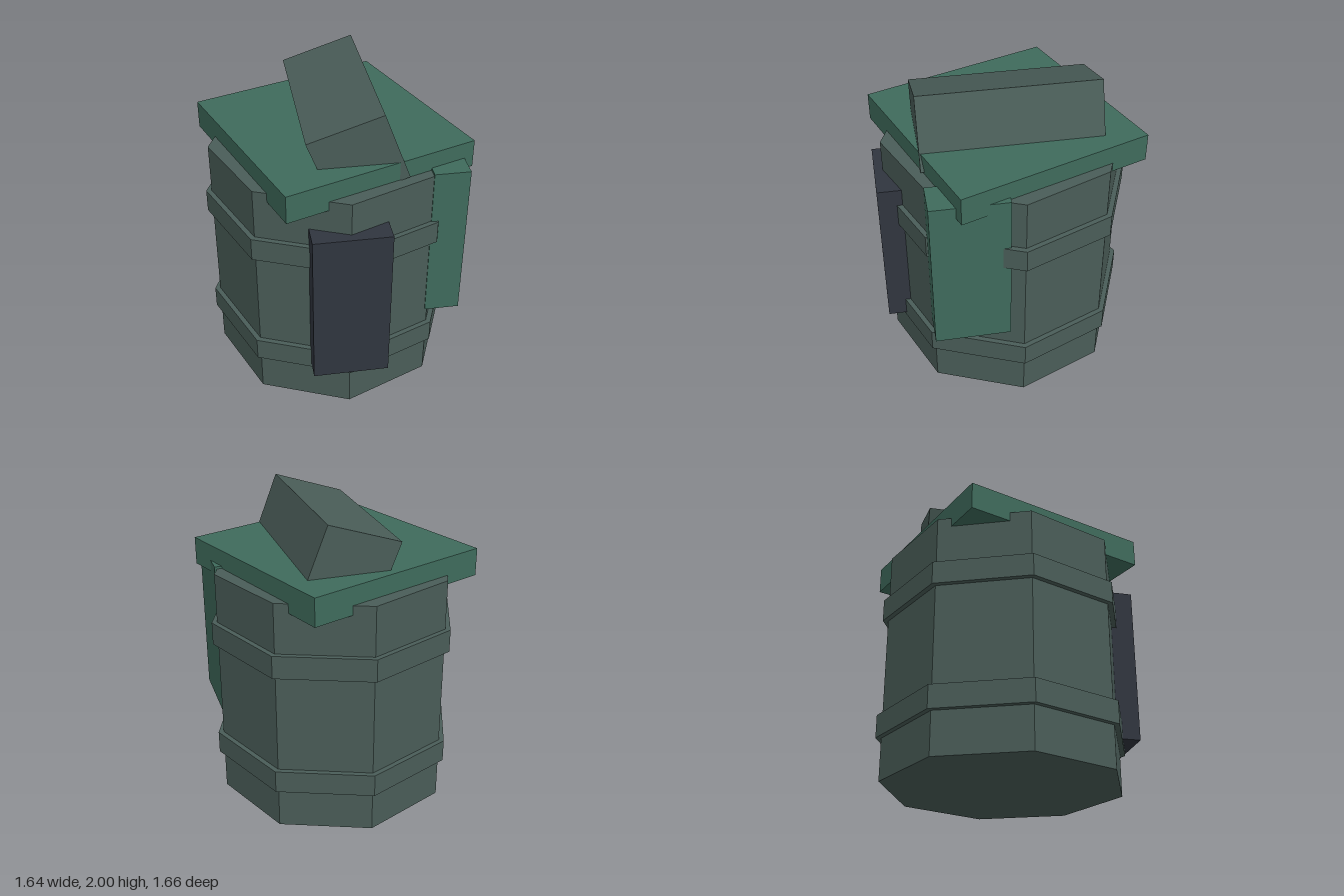
import * as THREE from 'three';

export function createModel() {
  const model = new THREE.Group();
  const paint = (name, color) => {
    const m = new THREE.MeshStandardMaterial({ color, flatShading: true });
    m.name = name;
    return m;
  };
  const slate = paint('slate', 0x4a5d58);
  const green = paint('green', 0x3f6b5c);
  const navy = paint('navy', 0x30353f);

  const add = (name, geometry, material, x, y, z) => {
    const mesh = new THREE.Mesh(geometry, material);
    mesh.name = name;
    mesh.position.set(x, y, z);
    model.add(mesh);
    return mesh;
  };
  const octagon = (r, h) => new THREE.CylinderGeometry(r, r, h, 8);
  const box = (w, h, d) => new THREE.BoxGeometry(w, h, d);

  // Eight-sided barrel with two hoops
  add('barrel', octagon(0.78, 1.56), slate, 0, 0.78, -0.005);
  add('lowerHoop', octagon(0.815, 0.15), slate, 0, 0.35, -0.005);
  add('upperHoop', octagon(0.815, 0.15), slate, 0, 1.16, -0.005);

  // Square lid, turned on the barrel
  add('lid', box(1.283, 0.18, 1.283), green, 0, 1.59, -0.005).rotation.y = Math.PI / 9;

  // Tilted, slightly skewed block sunk into the lid
  const section = new THREE.Shape([
    new THREE.Vector2(-0.07, 1.425),
    new THREE.Vector2(0.387, 1.575),
    new THREE.Vector2(0.222, 2.0),
    new THREE.Vector2(-0.235, 1.85),
  ]);
  const block = new THREE.ExtrudeGeometry(section, { depth: 1.13, bevelEnabled: false });
  add('lidBlock', block, slate, 0, 0, -0.57);

  // Pouches on the front and on the left flank
  add('frontPouch', box(0.48, 1.045, 0.155), navy, 0, 0.8275, 0.7525);
  add('sidePouch', box(0.225, 1.045, 0.48), green, 0.6475, 1.0525, 0.32);

  return model;
}
